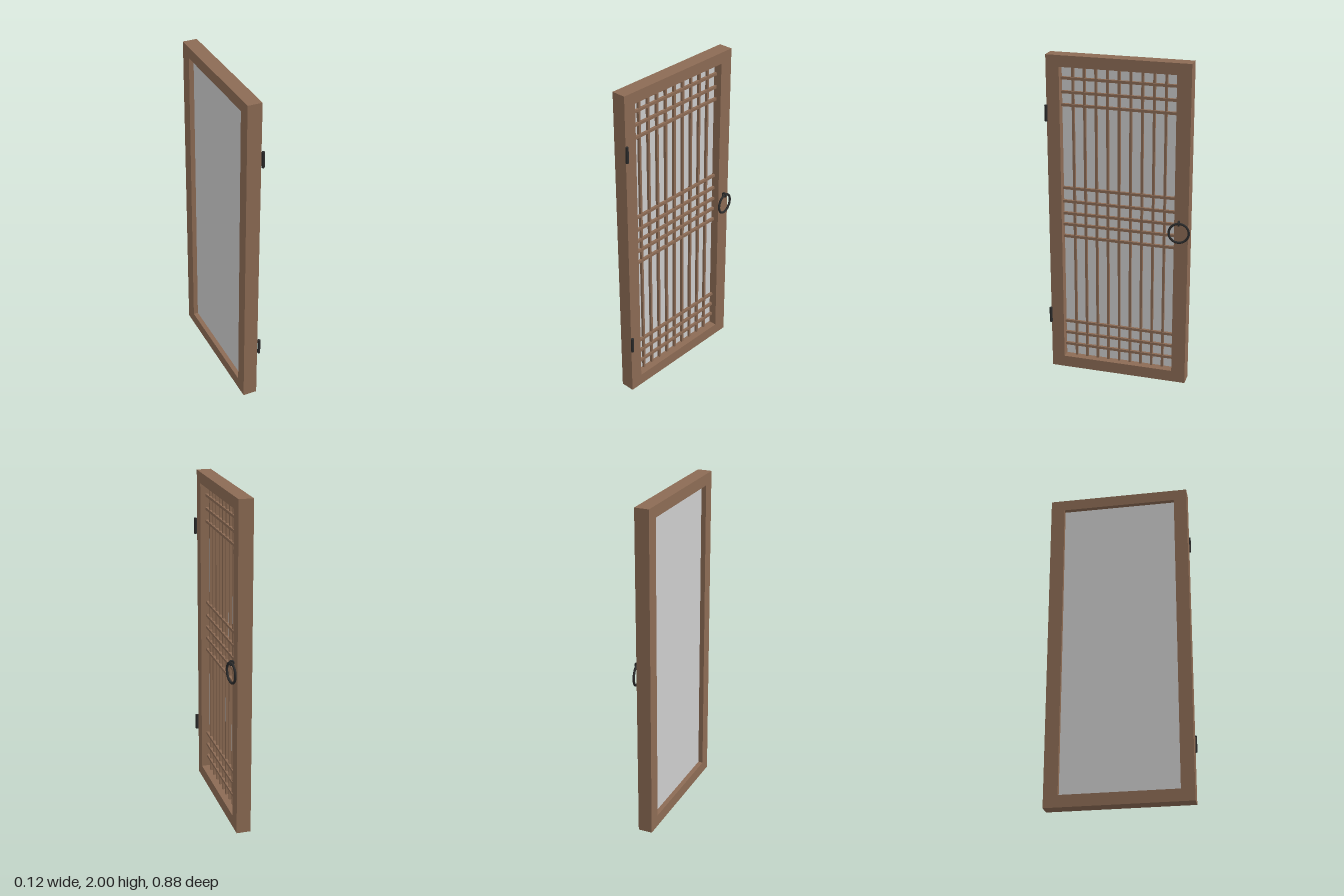
import * as THREE from 'three';

export function createModel() {
  const model = new THREE.Group();
  model.name = 'latticeDoor';
  const material = (name, color) => {
    const m = new THREE.MeshStandardMaterial({ color });
    m.name = name;
    return m;
  };
  const wood = material('brown wood', 0x8c6b54);
  const paper = material('pale paper', 0xcccccc);
  const iron = material('dark iron', 0x2b2b2b);

  const add = (name, geometry, mat, x, y, z, parent = model) => {
    const mesh = new THREE.Mesh(geometry, mat);
    mesh.name = name;
    mesh.position.set(x, y, z);
    parent.add(mesh);
    return mesh;
  };

  // Frame: a rectangle with one opening, drawn in (-z, y) and extruded along x
  const backX = -0.063, frontX = 0.023;
  const zMin = -0.425, zMax = 0.431;
  const inMin = -0.341, inMax = 0.352, inLow = 0.072, inHigh = 1.932;
  const rectangle = (path, a, b, c, d) =>
    path.moveTo(a, b).lineTo(c, b).lineTo(c, d).lineTo(a, d).closePath();
  const outline = new THREE.Shape();
  rectangle(outline, -zMax, 0, -zMin, 2);
  const opening = new THREE.Path();
  rectangle(opening, -inMax, inLow, -inMin, inHigh);
  outline.holes.push(opening);
  const frame = new THREE.ExtrudeGeometry(outline, { depth: frontX - backX, bevelEnabled: false });
  frame.rotateY(Math.PI / 2);
  add('frame', frame, wood, backX, 0, 0);

  // Paper sheet behind the lattice
  const width = inMax - inMin, height = inHigh - inLow;
  const midZ = (inMax + inMin) / 2, midY = (inHigh + inLow) / 2;
  add('paperPanel', new THREE.BoxGeometry(0.004, height, width), paper, -0.032, midY, midZ);

  // Lattice: nine uprights, crossed by three groups of rails
  const lattice = new THREE.Group();
  lattice.name = 'lattice';
  model.add(lattice);
  const upright = new THREE.BoxGeometry(0.016, height, 0.014);
  for (let i = 1; i < 10; i++) {
    add('uprightBar', upright, wood, -0.022, midY, inMax - (i * width) / 10, lattice);
  }
  const rail = new THREE.BoxGeometry(0.016, 0.016, width);
  for (const y of [0.146, 0.225, 0.305, 0.88, 0.957, 1.028, 1.105, 1.19, 1.701, 1.778, 1.86]) {
    add('crossRail', rail, wood, -0.017, y, midZ, lattice);
  }

  // Hinge barrels along the hanging edge
  const barrel = new THREE.CylinderGeometry(0.009, 0.009, 0.097, 16);
  for (const y of [0.358, 1.657]) add('hinge', barrel, iron, 0.034, y, 0.431);

  // Pull ring hanging from a small eye
  add('ringEye', new THREE.TorusGeometry(0.0125, 0.0055, 10, 24), iron, 0.043, 1.06, -0.373);
  const ring = add('pullRing', new THREE.TorusGeometry(0.059, 0.007, 12, 48), iron, 0.045, 1, -0.374);
  ring.rotation.y = Math.PI / 2 + 0.13;

  return model;
}
